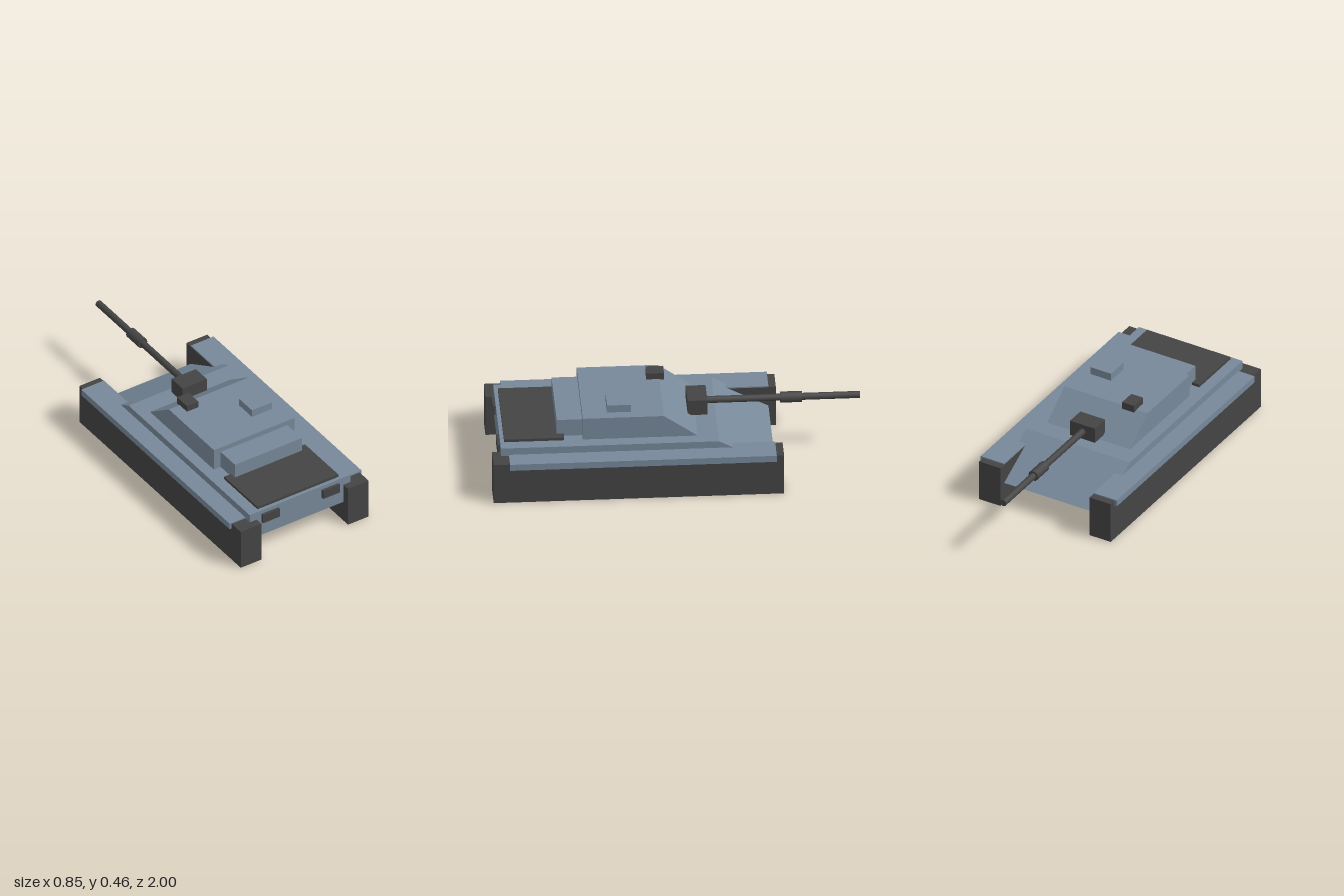
import * as THREE from 'three';

export function createModel() {
  const model = new THREE.Group();
  model.name = 'tank';
  const armour = new THREE.MeshStandardMaterial({ color: 0x778899 });
  armour.name = 'slate armour';
  const dark = new THREE.MeshStandardMaterial({ color: 0x444444 });
  dark.name = 'dark metal';

  const add = (name, geometry, material) => {
    const mesh = new THREE.Mesh(geometry, material);
    mesh.name = name;
    model.add(mesh);
    return mesh;
  };

  // Box given by its lower and upper bounds on each axis
  const box = (name, material, [x0, x1], [y0, y1], [z0, z1]) =>
    add(name, new THREE.BoxGeometry(x1 - x0, y1 - y0, z1 - z0), material)
      .position.set((x0 + x1) / 2, (y0 + y1) / 2, (z0 + z1) / 2);

  // Side profile of [z, y] points, extruded across the width
  const profile = (name, material, points, width) => {
    const shape = new THREE.Shape(points.map(([z, y]) => new THREE.Vector2(z, y)));
    const geometry = new THREE.ExtrudeGeometry(shape, { depth: width, bevelEnabled: false });
    geometry.translate(0, 0, -width / 2);
    geometry.rotateY(-Math.PI / 2);
    add(name, geometry, material);
  };

  // Round bar lying along z
  const bar = (name, radius, z0, z1) => {
    const geometry = new THREE.CylinderGeometry(radius, radius, z1 - z0, 12);
    geometry.rotateX(Math.PI / 2);
    add(name, geometry, dark).position.set(0, 0.352, (z0 + z1) / 2);
  };

  // Hull with sloped nose, and the wider upper hull over the tracks
  profile('lowerHull', armour, [[-0.525, 0.125], [0.954, 0.125], [0.954, 0.288], [-0.222, 0.288]], 0.56);
  profile('upperHull', armour, [[-0.31, 0.24], [0.955, 0.24], [0.955, 0.289], [-0.22, 0.289]], 0.65);

  // Tracks, fenders and rear lamps on both sides
  for (const [side, s] of [['left', 1], ['right', -1]]) {
    const span = (a, b) => (s > 0 ? [a, b] : [-b, -a]);
    box(side + 'Track', dark, span(0.28, 0.413), [0, 0.241], [-0.565, 1]);
    box(side + 'Fender', armour, span(0.281, 0.427), [0.21, 0.248], [-0.525, 0.912]);
    box(side + 'RearLamp', dark, span(0.14, 0.248), [0.212, 0.266], [0.94, 0.97]);
  }

  // Engine deck
  box('engineDeck', dark, [-0.261, 0.261], [0.285, 0.305], [0.61, 0.934]);

  // Turret with sloped face, rear bustle and roof fittings
  profile('turret', armour, [[-0.112, 0.287], [0.51, 0.287], [0.51, 0.42], [0.073, 0.42]], 0.52);
  box('turretBustle', armour, [-0.216, 0.216], [0.287, 0.39], [0.5, 0.648]);
  box('commanderHatch', armour, [0.075, 0.205], [0.415, 0.464], [0.248, 0.376]);
  box('roofSight', dark, [-0.19, -0.116], [0.415, 0.457], [0.048, 0.144]);

  // Gun
  box('mantlet', dark, [-0.078, 0.078], [0.306, 0.396], [-0.173, -0.066]);
  bar('gunBarrel', 0.019, -1, -0.12);
  bar('boreEvacuator', 0.03, -0.687, -0.57);

  return model;
}
